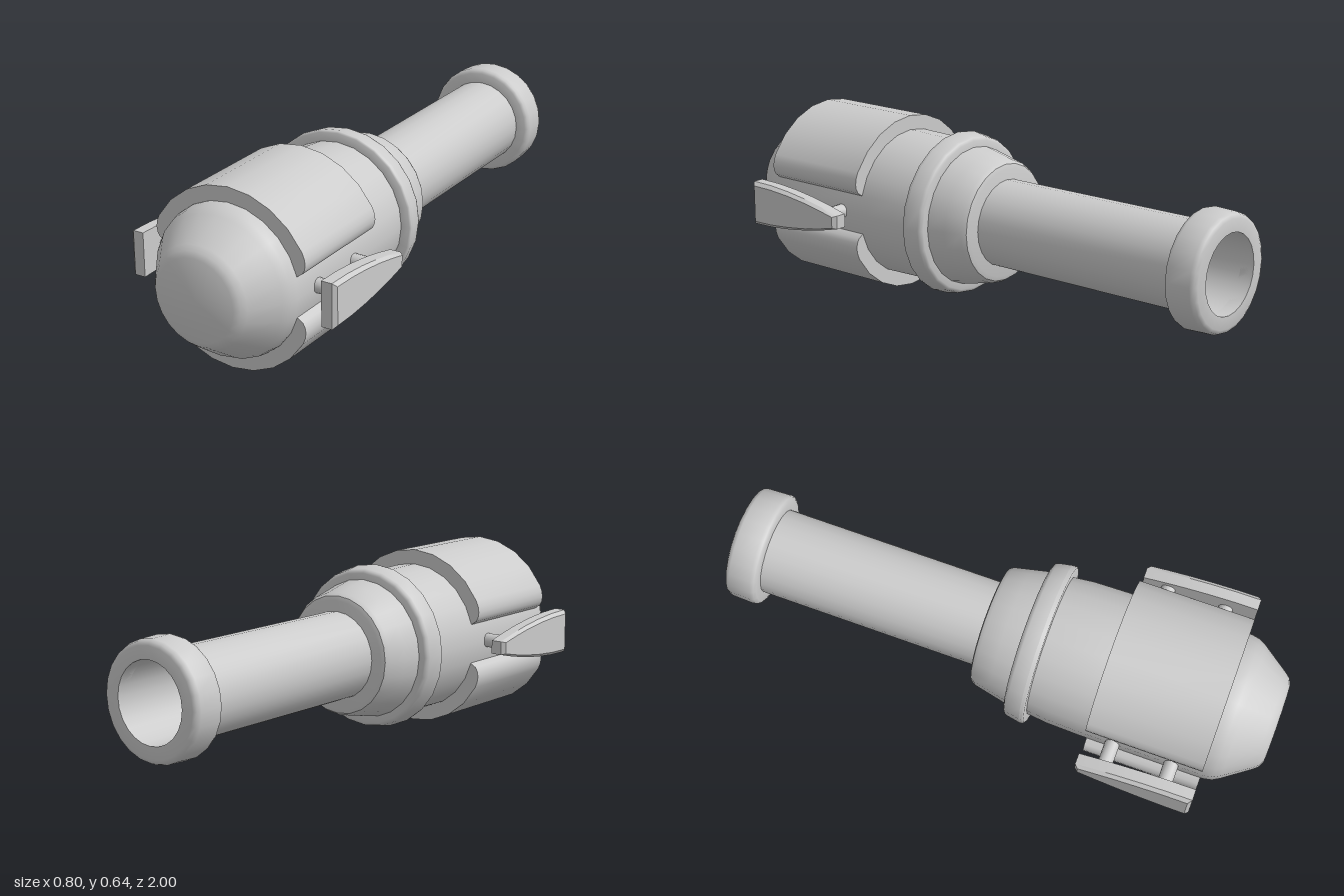
import * as THREE from 'three';
import { toCreasedNormals } from 'three/addons/utils/BufferGeometryUtils.js';

const AXIS_Y = 0.32;

export function createModel() {
  const model = new THREE.Group();
  const material = new THREE.MeshStandardMaterial({ color: 0xcccccc });
  const core = new THREE.Group();
  core.name = 'core';
  core.position.y = AXIS_Y;
  model.add(core);

  const add = (name, geometry, crease = 0.5) => {
    const mesh = new THREE.Mesh(toCreasedNormals(geometry, crease), material);
    mesh.name = name;
    core.add(mesh);
    return mesh;
  };
  // Turned part along z: profile pairs are [radius, z], back to front
  const turned = (name, profile, crease) => add(name,
    new THREE.LatheGeometry(profile.map(([r, z]) => new THREE.Vector2(r, z)), 24).rotateX(Math.PI / 2), crease);

  // Main body with domed nose and tapered rear shoulder
  turned('body', [
    [0, -0.065], [0.195, -0.065], [0.211, -0.06], [0.221, -0.045], [0.235, 0.02],
    [0.25, 0.09], [0.256, 0.165], [0.264, 0.24], [0.267, 0.36], [0.267, 0.82],
    [0.261, 0.85], [0.247, 0.875], [0.18, 0.97], [0.165, 0.988], [0.145, 0.998], [0, 1],
  ], 0.6);

  // Raised collar
  turned('collar', [
    [0.235, 0.085], [0.272, 0.085], [0.282, 0.09], [0.286, 0.1], [0.295, 0.15],
    [0.294, 0.16], [0.288, 0.165], [0.25, 0.165],
  ], 0.9);

  // Hollow handle
  turned('handle', [
    [0, -0.1], [0.14, -0.1], [0.14, -0.99], [0.156, -0.99], [0.156, -0.05],
  ]);

  // Rounded pommel ring
  turned('pommel', [
    [0.14, -0.95], [0.14, -1], [0.185, -1], [0.198, -0.994], [0.204, -0.98],
    [0.207, -0.9], [0.203, -0.887], [0.192, -0.88], [0.15, -0.88],
  ], 0.9);

  // Upper and lower shells: thick arcs with rounded lips
  const half = [];
  for (let a = 90; a >= 30; a -= 15) {
    const t = THREE.MathUtils.degToRad(a);
    half.push([0.32 * Math.cos(t), 0.32 * Math.sin(t)]);
  }
  half.push([0.286, 0.138], [0.289, 0.118], [0.286, 0.1], [0.278, 0.085], [0.256, 0.07]);
  for (let a = 15; a <= 90; a += 15) {
    const t = THREE.MathUtils.degToRad(a);
    half.push([0.262 * Math.cos(t), 0.262 * Math.sin(t)]);
  }
  const mirrored = half.slice(1, -1).reverse().map(([x, y]) => [-x, y]);
  const shellShape = new THREE.Shape([...half, ...mirrored].map(([x, y]) => new THREE.Vector2(x, y)));
  for (const [name, turn] of [['upperShell', 0], ['lowerShell', Math.PI]]) {
    add(name, new THREE.ExtrudeGeometry(shellShape, { depth: 0.42, bevelEnabled: false })
      .translate(0, 0, 0.39).rotateZ(turn), 0.6);
  }

  // Side fins: blunt at the front, tapering to the rear, outer rim rounded
  const finTop = [[0.81, 0.08], [0.72, 0.078], [0.63, 0.07], [0.54, 0.057], [0.46, 0.041], [0.39, 0.024]];
  const finOutline = [...finTop, ...finTop.slice().reverse().map(([z, y]) => [z, -y])];
  const finShape = new THREE.Shape(finOutline.map(([z, y]) => new THREE.Vector2(-z, y)));
  for (const side of [1, -1]) {
    const prefix = side > 0 ? 'left' : 'right';
    const fin = new THREE.ExtrudeGeometry(finShape, { depth: 0.053, steps: 4, bevelEnabled: false });
    const p = fin.attributes.position;
    for (let i = 0; i < p.count; i++) {
      if (p.getZ(i) > 0.05) {
        p.setX(i, -0.6 + (p.getX(i) + 0.6) * 0.94);
        p.setY(i, p.getY(i) * 0.84);
      }
    }
    fin.rotateY(Math.PI / 2).translate(0.347, 0, 0);
    // the outline is symmetric in y, so a turn about z mirrors the fin
    if (side < 0) fin.rotateZ(Math.PI);
    add(prefix + 'Fin', fin, 0.5);

    // Two pins carry each fin
    for (const z of [0.485, 0.7]) {
      add(prefix + 'Pin', new THREE.CylinderGeometry(0.026, 0.026, 0.11, 12)
        .rotateZ(Math.PI / 2).translate(side * 0.3, 0, z), 0.6);
    }
  }
  return model;
}
